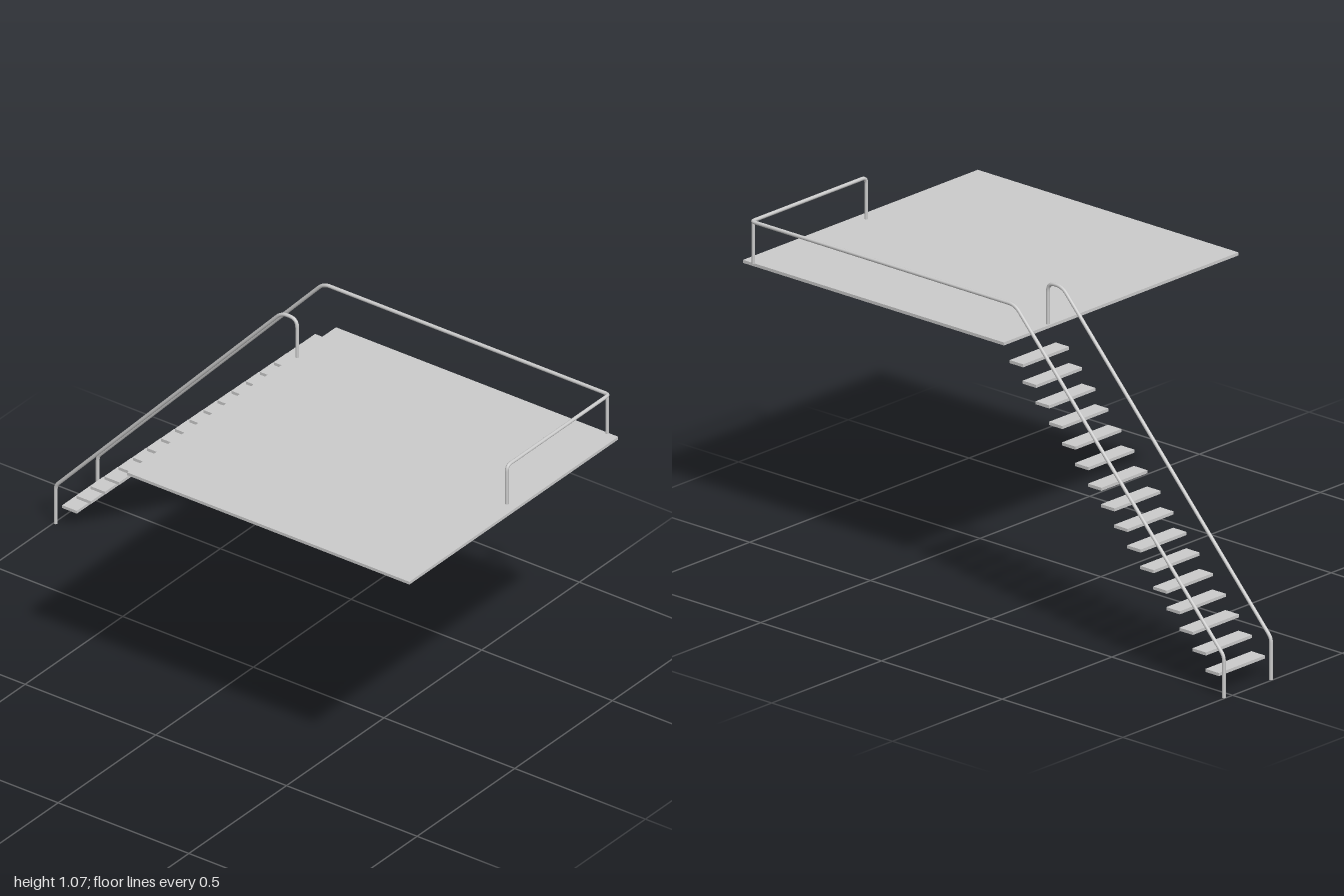
import * as THREE from 'three';

const material = new THREE.MeshStandardMaterial({ color: 0xcccccc });
const V = (x, y, z) => new THREE.Vector3(x, y, z);
const RADIUS = 0.006;

// Polyline curve with one tube ring per point and mitred tangents
class PipePath extends THREE.Curve {
  constructor(points) {
    super();
    this.points = points;
  }
  getPointAt(t, target = new THREE.Vector3()) {
    return target.copy(this.points[Math.round(t * (this.points.length - 1))]);
  }
  getTangentAt(t, target = new THREE.Vector3()) {
    const p = this.points, i = Math.round(t * (p.length - 1));
    target.set(0, 0, 0);
    if (i > 0) target.add(p[i].clone().sub(p[i - 1]).normalize());
    if (i < p.length - 1) target.add(p[i + 1].clone().sub(p[i]).normalize());
    return target.normalize();
  }
}

// Round the inner corners; each corner is [point, trim length]
function filleted(corners) {
  const out = [];
  corners.forEach(([p, trim], i) => {
    if (!trim) return out.push(p);
    const toward = (q) => p.clone().add(q.clone().sub(p).setLength(trim));
    const bend = new THREE.QuadraticBezierCurve3(
      toward(corners[i - 1][0]), p, toward(corners[i + 1][0]));
    out.push(...bend.getPoints(8));
  });
  return out;
}

// Pipe with closed lower ends
function pipe(name, corners) {
  const group = new THREE.Group();
  group.name = name;
  const path = filleted(corners);
  const tube = new THREE.Mesh(
    new THREE.TubeGeometry(new PipePath(path), path.length - 1, RADIUS, 12), material);
  tube.name = name + 'Tube';
  group.add(tube);
  for (const end of [path[0], path[path.length - 1]]) {
    const cap = new THREE.Mesh(new THREE.CircleGeometry(RADIUS, 12), material);
    cap.name = name + 'EndCap';
    cap.rotation.x = Math.PI / 2;
    cap.position.copy(end);
    group.add(cap);
  }
  return group;
}

function box(name, w, h, d, x, y, z) {
  const mesh = new THREE.Mesh(new THREE.BoxGeometry(w, h, d), material);
  mesh.name = name;
  mesh.position.set(x, y, z);
  return mesh;
}

export function createModel() {
  const model = new THREE.Group();
  model.name = 'platformStair';

  // Upper floor slab
  model.add(box('platform', 1.07, 0.01, 1.08, -0.005, 0.927, 0.46));

  // Floating treads descending toward the back
  const stairs = new THREE.Group();
  stairs.name = 'stairs';
  const count = 16;
  for (let i = 0; i < count; i++) {
    const t = i / (count - 1);
    stairs.add(box('tread', 0.21, 0.01, 0.056, 0.424,
      THREE.MathUtils.lerp(0.875, 0.068, t), THREE.MathUtils.lerp(-0.131, -0.942, t)));
  }
  model.add(stairs);

  // Handrails: both share the same sloping run down to the ground
  const floor = 0.93, top = 1.068;
  const slope = (x) => [
    [V(x, top, -0.13), 0.025],
    [V(x, 0.136, -0.994), 0.015],
    [V(x, 0, -0.994), 0],
  ];
  const inner = 0.318, outer = 0.533;
  model.add(pipe('innerHandrail', [
    [V(inner, floor, -0.07), 0],
    [V(inner, top, -0.07), 0.03],
    ...slope(inner),
  ]));
  model.add(pipe('outerHandrail', [
    [V(0.009, floor, 0.963), 0],
    [V(0.009, top, 0.963), 0.02],
    [V(outer, top, 0.963), 0.015],
    ...slope(outer),
  ]));

  // Post under the front corner of the outer rail
  const post = new THREE.Mesh(
    new THREE.CylinderGeometry(RADIUS * 0.9, RADIUS * 0.9, top - floor, 12), material);
  post.name = 'cornerPost';
  post.position.set(0.527, (top + floor) / 2, 0.96);
  model.add(post);

  return model;
}
